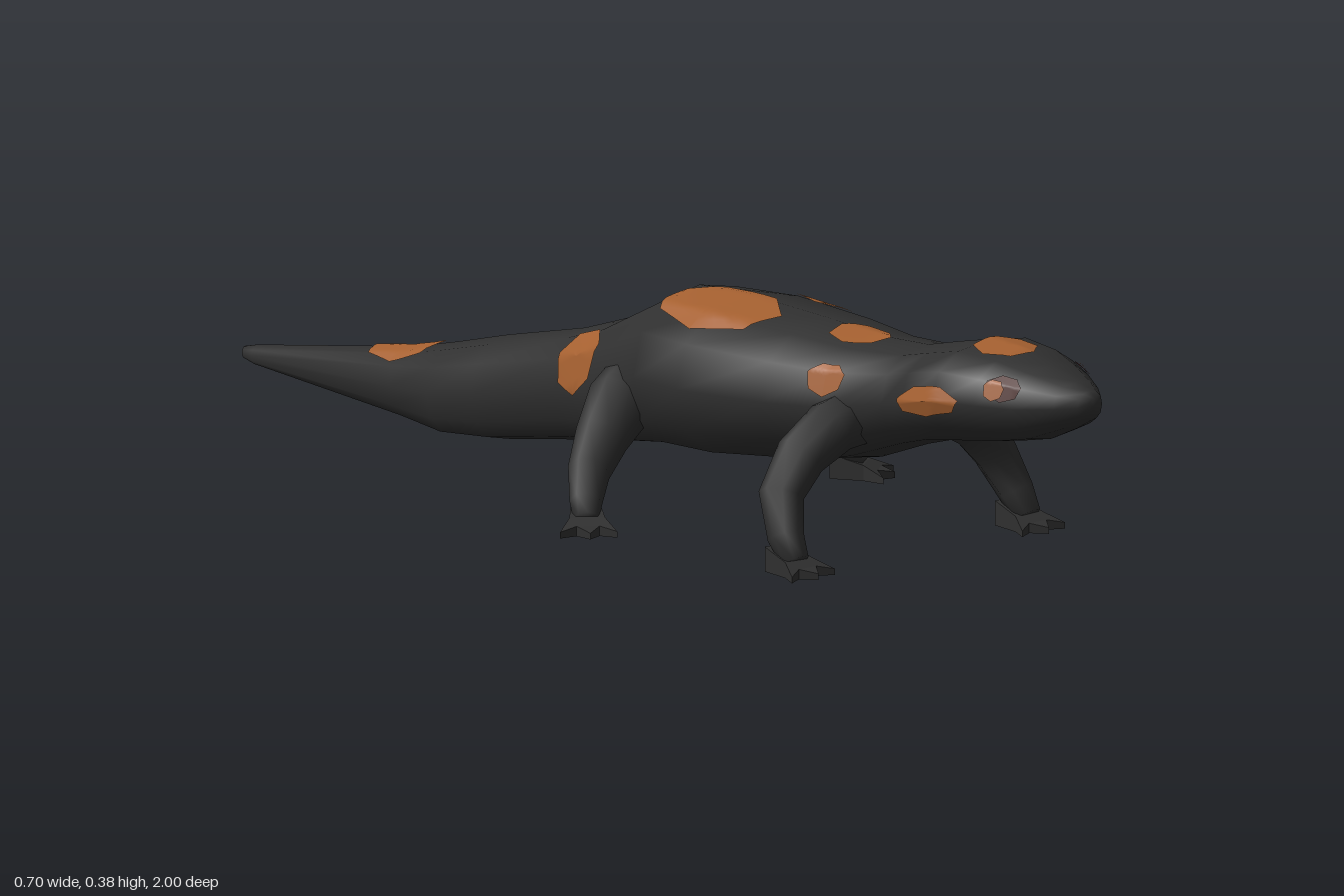
import * as THREE from 'three';

const SIDES = 12;
const rad = THREE.MathUtils.degToRad;

// Body stations, tail to snout: z, half width, bottom y, top y
const STATIONS = [
  [-1, 0.008, 0.045, 0.065], [-0.97, 0.015, 0.04, 0.072], [-0.6, 0.055, 0.02, 0.133],
  [-0.5, 0.066, 0.01, 0.158], [-0.38, 0.08, 0.022, 0.19], [-0.2, 0.068, 0.052, 0.232],
  [-0.1, 0.095, 0.068, 0.265], [0.07, 0.14, 0.092, 0.348], [0.2, 0.165, 0.1, 0.353],
  [0.38, 0.148, 0.122, 0.347], [0.5, 0.122, 0.145, 0.34], [0.61, 0.1, 0.185, 0.345],
  [0.68, 0.12, 0.205, 0.362], [0.76, 0.127, 0.218, 0.38], [0.84, 0.112, 0.23, 0.375],
  [0.9, 0.086, 0.243, 0.362], [0.96, 0.05, 0.27, 0.345], [0.99, 0.026, 0.287, 0.335],
  [1, 0.01, 0.3, 0.325],
];

const squash = (v) => Math.sign(v) * Math.abs(v) ** 0.85;

// Point j of the body ring at one station
function ringPoint([z, w, lo, hi], j) {
  const a = (j / SIDES) * Math.PI * 2;
  return new THREE.Vector3(w * squash(Math.cos(a)), (lo + hi) / 2 + ((hi - lo) / 2) * squash(Math.sin(a)), z);
}

// Skin over closed rings, capped at both ends
function loft(rings) {
  const n = rings[0].length;
  const pos = [];
  const index = [];
  const push = (p) => pos.push(p.x, p.y, p.z);
  rings.forEach((ring) => ring.forEach(push));
  for (let k = 0; k < rings.length - 1; k++) {
    for (let j = 0; j < n; j++) {
      const a = k * n + j, b = k * n + ((j + 1) % n);
      index.push(a, b, a + n, b, b + n, a + n);
    }
  }
  [0, rings.length - 1].forEach((k, end) => {
    const centre = new THREE.Vector3();
    rings[k].forEach((p) => centre.addScaledVector(p, 1 / n));
    const c = pos.length / 3;
    push(centre);
    for (let j = 0; j < n; j++) {
      const a = k * n + j, b = k * n + ((j + 1) % n);
      if (end) index.push(c, a, b);
      else index.push(c, b, a);
    }
  });
  const geo = new THREE.BufferGeometry();
  geo.setAttribute('position', new THREE.Float32BufferAttribute(pos, 3));
  geo.setIndex(index);
  geo.computeVertexNormals();
  return geo;
}

// Point on the body skin at z and angle, raised by lift
function skinPoint(z, angle, lift) {
  let k = 0;
  while (k < STATIONS.length - 2 && STATIONS[k + 1][0] < z) k++;
  const A = STATIONS[k], B = STATIONS[k + 1];
  const t = (z - A[0]) / (B[0] - A[0]);
  const s = A.map((v, i) => v + (B[i] - v) * t);
  const f = (angle / (Math.PI * 2)) * SIDES;
  const j = Math.floor(f);
  const p = ringPoint(s, j).lerp(ringPoint(s, j + 1), f - j);
  const out = p.clone().sub(new THREE.Vector3(0, (s[2] + s[3]) / 2, z)).normalize();
  return p.addScaledVector(out, lift);
}

// Seven-cornered patch that follows the body skin
function spotGeometry(z, deg, dz, ddeg, lift = 0.004) {
  const geo = new THREE.RingGeometry(0.001, 1, 28, 6);
  const pos = geo.attributes.position;
  const step = (Math.PI * 2) / 7;
  for (let i = 0; i < pos.count; i++) {
    const x = pos.getX(i), y = pos.getY(i);
    const th = Math.atan2(y, x) + Math.PI * 2 + 1e-6;
    const r = (1.06 * Math.cos(step / 2)) / Math.cos((th % step) - step / 2);
    const p = skinPoint(z + y * r * dz, rad(deg + x * r * ddeg), lift);
    pos.setXYZ(i, p.x, p.y, p.z);
  }
  geo.computeVertexNormals();
  return geo;
}

// Limb through joints [x, y, z, radius]
function limbGeometry(joints, side) {
  const pts = joints.map(([x, y, z]) => new THREE.Vector3(x * side, y, z));
  const rings = pts.map((p, i) => {
    const t = pts[Math.min(i + 1, pts.length - 1)].clone().sub(pts[Math.max(i - 1, 0)]).normalize();
    const u = new THREE.Vector3(0, 0, 1).addScaledVector(t, -t.z).normalize();
    const v = t.clone().cross(u);
    return Array.from({ length: 8 }, (_, j) => {
      const a = (j / 8) * Math.PI * 2;
      return p.clone().addScaledVector(u, Math.cos(a) * joints[i][3]).addScaledVector(v, Math.sin(a) * joints[i][3]);
    });
  });
  return loft(rings);
}

// Flat three-toed foot, thinner toward the toes
function footGeometry() {
  const outline = [[-0.022, -0.02], [0.022, -0.02], [0.028, 0.035], [0.045, 0.07], [0.018, 0.056],
    [0.002, 0.08], [-0.018, 0.056], [-0.045, 0.07], [-0.028, 0.035]];
  const shape = new THREE.Shape(outline.map(([x, y]) => new THREE.Vector2(x, y)));
  const geo = new THREE.ExtrudeGeometry(shape, { depth: 0.04, bevelEnabled: false });
  geo.rotateX(Math.PI / 2).translate(0, 0.04, 0);
  const pos = geo.attributes.position;
  for (let i = 0; i < pos.count; i++) {
    const taper = 1 - 0.75 * THREE.MathUtils.clamp(pos.getZ(i) / 0.07, 0, 1);
    pos.setY(i, pos.getY(i) * taper);
  }
  geo.computeVertexNormals();
  return geo;
}

const FRONT_LEG = [[0.07, 0.225, 0.52, 0.05], [0.12, 0.213, 0.515, 0.046], [0.18, 0.175, 0.51, 0.041],
  [0.225, 0.12, 0.515, 0.036], [0.242, 0.06, 0.545, 0.029], [0.244, 0.025, 0.57, 0.022]];
const HIND_LEG = [[0.06, 0.19, 0.005, 0.06], [0.12, 0.165, 0.015, 0.054], [0.18, 0.122, 0.04, 0.043],
  [0.235, 0.082, 0.072, 0.034], [0.275, 0.045, 0.11, 0.026], [0.288, 0.024, 0.127, 0.021]];

// Spots: name, z, angle, half length, half angle, lift
const SPOTS = [
  ['crownSpot', 0.805, 94, 0.05, 21], ['neckSpot', 0.475, 98, 0.055, 16],
  ['backSpotRight', 0.185, 111, 0.125, 25], ['backSpotLeft', 0.265, 42, 0.12, 24],
  ['hipSpotLeft', -0.02, 20, 0.06, 28, 0.009], ['hipSpotRight', -0.13, 152, 0.06, 32],
  ['tailTopSpot', -0.61, 98, 0.08, 42], ['tailSideSpot', -0.295, -12, 0.075, 24],
  ['cheekSpotLeft', 0.74, 0, 0.07, 16], ['cheekSpotRight', 0.74, 180, 0.07, 16],
  ['shoulderSpotRight', 0.5, 156, 0.035, 14, 0.009],
];

export function createModel() {
  const skin = new THREE.MeshStandardMaterial({ color: 0x303030 });
  skin.name = 'charcoalSkin';
  const orange = new THREE.MeshStandardMaterial({ color: 0xa56030 });
  orange.name = 'orangeSpots';
  const eyeRed = new THREE.MeshStandardMaterial({ color: 0x4a221c });
  eyeRed.name = 'darkRedEye';

  const model = new THREE.Group();
  model.name = 'salamander';
  const add = (name, geo, mat, parent = model) => {
    const mesh = new THREE.Mesh(geo, mat);
    mesh.name = name;
    parent.add(mesh);
    return mesh;
  };

  // Head, trunk and tail in one skin
  const rings = STATIONS.map((s) => Array.from({ length: SIDES }, (_, j) => ringPoint(s, j)));
  add('body', loft(rings), skin);

  SPOTS.forEach(([name, ...spot]) => add(name, spotGeometry(...spot), orange));

  for (const side of [1, -1]) {
    const tag = side > 0 ? 'Left' : 'Right';
    const turn = (deg) => (side > 0 ? deg : 180 - deg);

    // Eyes: dark red patch with an orange centre
    add('eye' + tag, spotGeometry(0.882, turn(27), 0.027, 18, 0.003), eyeRed);
    add('eyeCentre' + tag, spotGeometry(0.87, turn(22), 0.016, 13, 0.006), orange);

    // Legs and feet
    [['front', FRONT_LEG, 0.242, 0.54, 0], ['hind', HIND_LEG, 0.272, 0.107, 38]].forEach(([name, joints, x, z, yaw]) => {
      const leg = new THREE.Group();
      leg.name = name + 'Leg' + tag;
      model.add(leg);
      add(name + 'Limb' + tag, limbGeometry(joints, side), skin, leg);
      const foot = add(name + 'Foot' + tag, footGeometry(), skin, leg);
      foot.position.set(x * side, 0.004, z);
      foot.rotation.y = rad(yaw) * side;
    });
  }
  return model;
}
